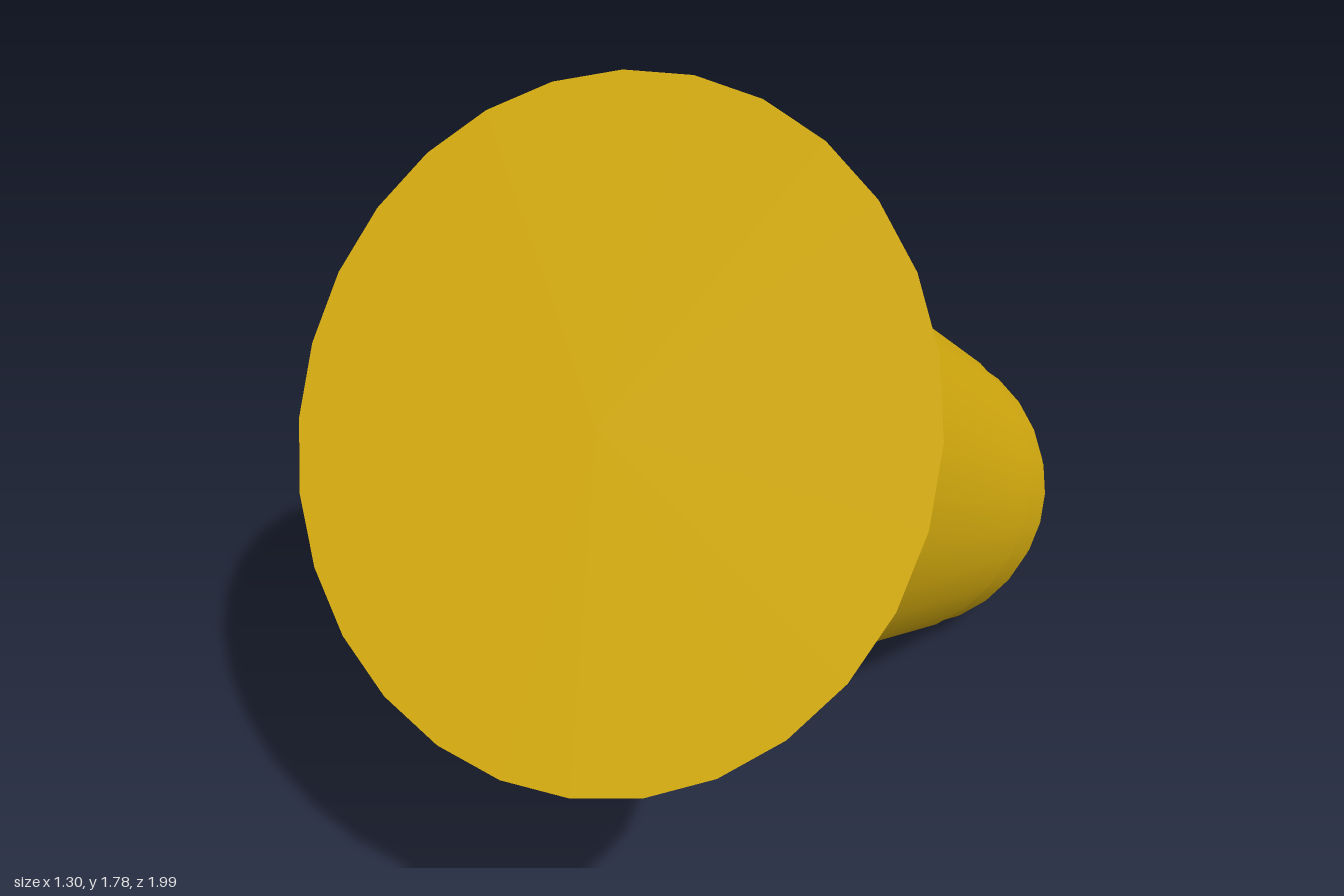
import * as THREE from 'three';

const SIDES = 28;
const LENGTH = 1.742;

export function createModel() {
  const model = new THREE.Group();
  const yellow = new THREE.MeshStandardMaterial({ color: 0xddb20f, side: THREE.DoubleSide });
  yellow.name = 'golden yellow';

  // The cup is built upright along y, then tipped forward.
  const cup = new THREE.Group();
  cup.name = 'cup';
  const add = (name, geometry) => {
    const mesh = new THREE.Mesh(geometry, yellow);
    mesh.name = name;
    cup.add(mesh);
    return mesh;
  };
  const lathe = (profile) =>
    new THREE.LatheGeometry(profile.map(([r, y]) => new THREE.Vector2(r, y)), SIDES);
  const disc = (radius, y, up) =>
    new THREE.CircleGeometry(radius, SIDES).rotateX(up ? -Math.PI / 2 : Math.PI / 2).translate(0, y, 0);

  // Tapered wall with three shallow steps
  add('wall', lathe([
    [0.33, 0], [0.342, 0.083], [0.356, 0.1], [0.366, 0.28], [0.378, 0.3],
    [0.474, 1.443], [0.505, 1.464], [0.538, 1.726],
  ]));
  add('base', disc(0.33, 0, false));

  // Rim: flat underside and a narrow outer edge
  add('rimUnderside', lathe([[0.538, 1.726], [0.614, 1.726]]));
  add('rimEdge', lathe([[0.614, 1.726], [0.614, LENGTH]]));

  // Foil lid, slightly wider than the rim
  add('lid', disc(0.65, LENGTH, true));

  cup.rotation.x = 0.985;
  cup.position.set(0, 0.278, -0.815);
  model.add(cup);
  return model;
}
